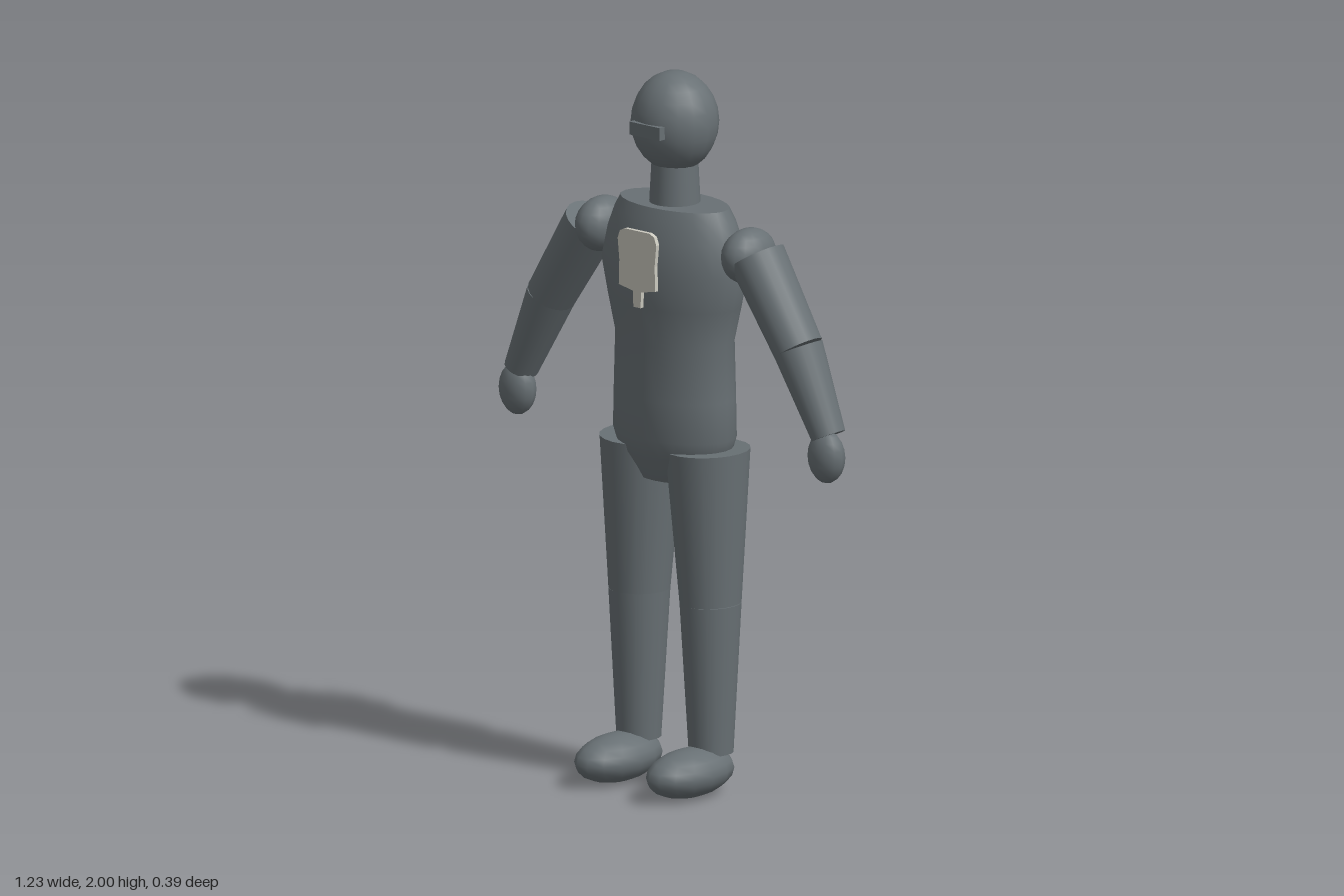
import * as THREE from 'three';
import { toCreasedNormals } from 'three/addons/utils/BufferGeometryUtils.js';

export function createModel() {
  const group = new THREE.Group();
  const bodyGrey = new THREE.MeshStandardMaterial({ color: 0x687074 });
  bodyGrey.name = 'bodyGrey';
  const paleGrey = new THREE.MeshStandardMaterial({ color: 0xcac8be });
  paleGrey.name = 'paleGrey';
  const Z = -0.04; // depth of the body's central plane

  const add = (name, geo, x, y, z, mat = bodyGrey) => {
    const mesh = new THREE.Mesh(geo, mat);
    mesh.name = name;
    mesh.position.set(x, y, z);
    group.add(mesh);
    return mesh;
  };

  const ellipsoid = (name, x, y, z, rx, ry, rz, w = 16, h = 12) =>
    add(name, new THREE.SphereGeometry(1, w, h), x, y, z).scale.set(rx, ry, rz);

  // tapered limb between two points in the body plane, with its own depth ratio
  const limb = (name, [x0, y0, r0], [x1, y1, r1], depth = 1) => {
    const dx = x0 - x1, dy = y0 - y1;
    const geo = new THREE.CylinderGeometry(r0, r1, Math.hypot(dx, dy), 20);
    const mesh = add(name, geo, (x0 + x1) / 2, (y0 + y1) / 2, Z);
    mesh.rotation.z = -Math.atan2(dx, dy);
    mesh.scale.z = depth;
  };

  // torso: elliptical sections given as height, half width, half depth
  const sections = [
    [0.865, 0, 0], [0.865, 0.12, 0.085], [0.94, 0.175, 0.122], [0.99, 0.192, 0.132],
    [1.1, 0.19, 0.13], [1.26, 0.185, 0.128], [1.36, 0.21, 0.138], [1.46, 0.234, 0.144],
    [1.55, 0.216, 0.128], [1.6, 0.198, 0.113], [1.635, 0.178, 0.1], [1.635, 0, 0],
  ];
  const torso = new THREE.LatheGeometry(sections.map(([y, rx]) => new THREE.Vector2(rx, y)), 24);
  const pos = torso.attributes.position;
  for (let i = 0; i < pos.count; i++) {
    const [, rx, rz] = sections[i % sections.length];
    pos.setZ(i, rx ? pos.getZ(i) * rz / rx : 0);
  }
  add('torso', toCreasedNormals(torso, 0.8), 0, 0, Z);

  // neck, head and visor
  limb('neck', [0, 1.75, 0.064], [0, 1.62, 0.071]);
  ellipsoid('head', 0, 1.86, Z, 0.122, 0.14, 0.12);
  add('visor', new THREE.BoxGeometry(0.11, 0.036, 0.03), 0, 1.854, 0.07);

  // arms and legs
  for (const [side, s] of [['left', 1], ['right', -1]]) {
    ellipsoid(side + 'Shoulder', s * 0.265, 1.526, Z - 0.003, 0.062, 0.077, 0.092);
    limb(side + 'UpperArm', [s * 0.298, 1.529, 0.076], [s * 0.447, 1.297, 0.067], 1.1);
    limb(side + 'Forearm', [s * 0.447, 1.297, 0.067], [s * 0.557, 1.07, 0.046], 1.1);
    ellipsoid(side + 'Hand', s * 0.56, 1.015, -0.028, 0.057, 0.074, 0.044, 12, 10);
    limb(side + 'Thigh', [s * 0.119, 0.96, 0.114], [s * 0.129, 0.53, 0.083], 1.06);
    limb(side + 'Shin', [s * 0.129, 0.53, 0.083], [s * 0.131, 0.11, 0.06], 1.06);
    ellipsoid(side + 'Foot', s * 0.13, 0.068, 0.045, 0.086, 0.067, 0.155, 14, 10);
  }

  // pale plates on chest and back, with a short tab at the lower edge
  const half = [[0.045, 1.58], [0.062, 1.572], [0.07, 1.55], [0.064, 1.49], [0.066, 1.42],
    [0.015, 1.41], [0.013, 1.365]];
  const outline = [...half, ...half.map(([x, y]) => [-x, y]).reverse()];
  const plate = new THREE.ExtrudeGeometry(
    new THREE.Shape(outline.map(([x, y]) => new THREE.Vector2(x, y))),
    { depth: 0.012, bevelEnabled: false });
  add('chestPlate', plate, 0, 0, 0.104, paleGrey);
  add('backPlate', plate, 0, 0, -0.197, paleGrey);

  return group;
}
